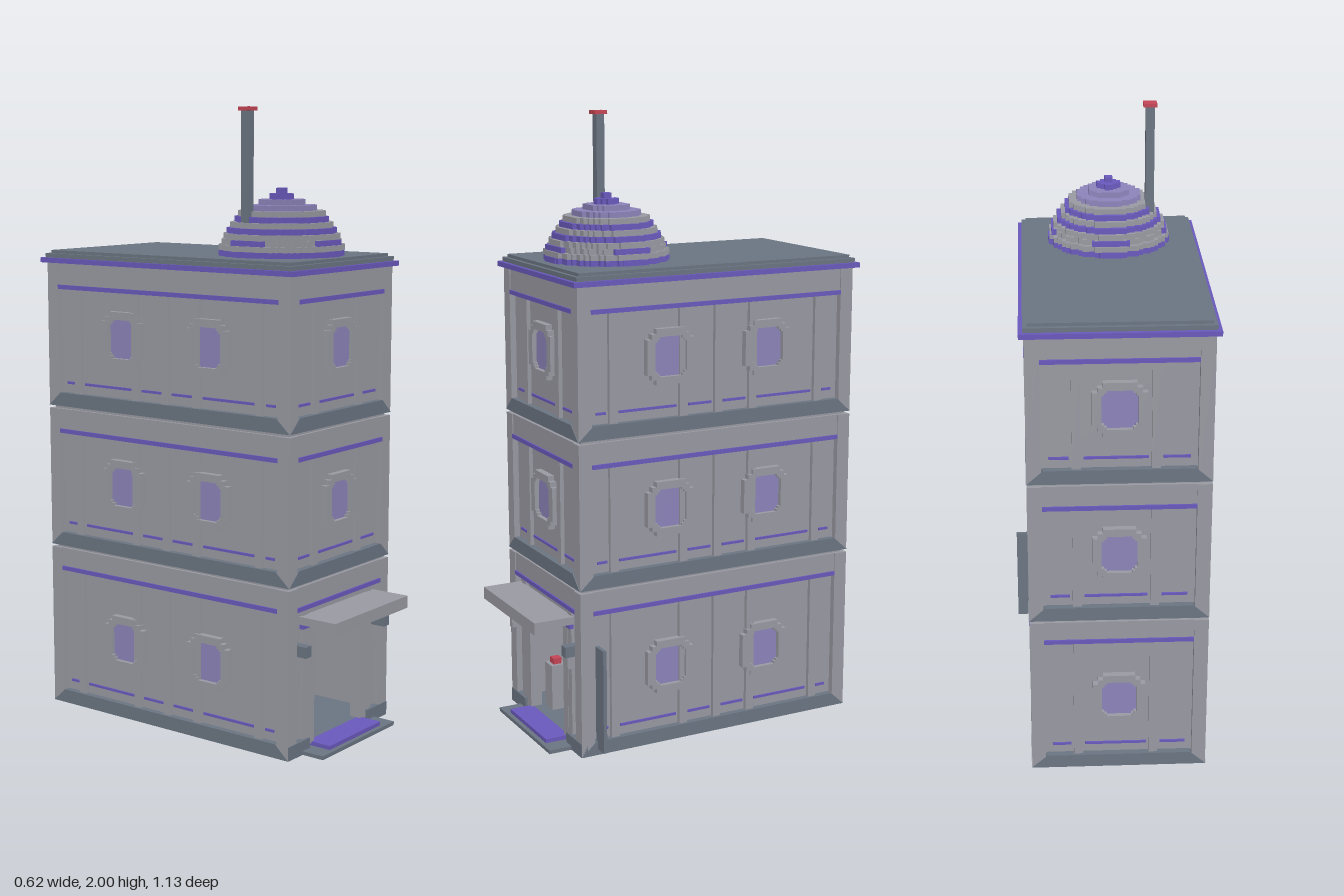
import * as THREE from 'three';

const mat = (name, color) => {
  const m = new THREE.MeshStandardMaterial({ color });
  m.name = name;
  return m;
};

export function createModel() {
  const stone = mat('stone grey', 0x999aa2);
  const slate = mat('slate', 0x6b7582);
  const purple = mat('purple trim', 0x6a59bd);
  const glass = mat('lavender glass', 0x8d84ba);
  const red = mat('signal red', 0xc54455);
  const model = new THREE.Group();
  model.name = 'tower';

  // Box given by its min and max corners
  const box = (parent, name, m, x0, x1, y0, y1, z0, z1) => {
    const mesh = new THREE.Mesh(new THREE.BoxGeometry(x1 - x0, y1 - y0, z1 - z0), m);
    mesh.position.set((x0 + x1) / 2, (y0 + y1) / 2, (z0 + z1) / 2);
    mesh.name = name;
    parent.add(mesh);
    return mesh;
  };

  const extrude = (parent, name, m, shape, depth, x, y, z) => {
    const mesh = new THREE.Mesh(new THREE.ExtrudeGeometry(shape, { depth, bevelEnabled: false }), m);
    mesh.position.set(x, y, z);
    mesh.name = name;
    parent.add(mesh);
  };

  // Outline with stepped corners, mirrored into four quadrants
  const stepped = (w, h, s) => {
    const q = [[w, h - 2 * s], [w - s, h - 2 * s], [w - s, h - s], [w - 2 * s, h - s], [w - 2 * s, h]];
    const r = [...q].reverse();
    return [...q, ...r.map(([x, y]) => [-x, y]), ...q.map(([x, y]) => [-x, -y]), ...r.map(([x, y]) => [x, -y])]
      .map(([x, y]) => new THREE.Vector2(x, y));
  };

  const addWindow = (parent, x, y) => {
    const shape = new THREE.Shape(stepped(0.083, 0.088, 0.016));
    shape.holes.push(new THREE.Path(stepped(0.055, 0.063, 0.008)));
    extrude(parent, 'windowFrame', stone, shape, 0.026, x, y, -0.024);
    box(parent, 'windowGlass', glass, x - 0.056, x + 0.056, y - 0.064, y + 0.064, -0.021, -0.013);
  };

  // One wall facing +z, its outer face on z = 0
  const facade = (f, width, windows, strips, door) => {
    const g = new THREE.Group();
    const h = width / 2, top = f.y1, y0 = f.y0, e = h - 0.045;
    if (door) {
      box(g, 'wallLeft', stone, 0.165, h - 0.02, y0, top, -0.04, -0.02);
      box(g, 'wallRight', stone, -h + 0.02, -0.165, y0, top, -0.04, -0.02);
      box(g, 'wallOverDoor', stone, -0.165, 0.165, 0.4, top, -0.04, -0.02);
    } else {
      box(g, 'wall', stone, -h + 0.02, h - 0.02, y0, top, -0.04, -0.02);
      for (const x of windows) addWindow(g, x, f.win);
      // Low purple inlays between the strips
      const cuts = [-e, ...strips, e];
      for (let i = 0; i + 1 < cuts.length; i++) {
        const a = cuts[i] + 0.022, b = cuts[i + 1] - 0.022;
        if (b - a > 0.01) box(g, 'lowInlay', purple, a, b, y0 + 0.074, y0 + 0.082, -0.021, -0.015);
      }
    }
    for (const x of strips) box(g, 'wallStrip', stone, x - 0.014, x + 0.014, y0 + 0.04, f.trim, -0.021, -0.007);
    for (const s of [-1, 1]) {
      const a = s * h, b = s * e;
      box(g, 'cornerPilaster', stone, Math.min(a, b), Math.max(a, b), y0 + 0.001, top, -0.02, 0);
    }
    box(g, 'upperBand', stone, -e, e, f.trim, top, -0.021, -0.004);
    box(g, 'upperTrim', purple, -e, e, f.trim - 0.006, f.trim + 0.008, -0.021, 0.001);
    // Tapered skirting at the foot of the wall
    if (!door) {
      const s = new THREE.Shape([[-h, 0], [h, 0], [h - 0.05, 0.045], [-h + 0.05, 0.045]]
        .map(([x, y]) => new THREE.Vector2(x, y)));
      extrude(g, 'skirting', slate, s, 0.022, 0, y0, -0.02);
    } else {
      for (const [a, b] of [[-h, -0.165], [0.165, h]])
        box(g, 'skirting', slate, a, b, y0, y0 + 0.045, -0.02, 0.002);
    }
    return g;
  };

  const CX = -0.015, CZ = -0.052, W = 0.56, D = 0.986;
  const floors = [
    { name: 'groundFloor', y0: 0, y1: 0.54, win: 0.255, trim: 0.47 },
    { name: 'middleFloor', y0: 0.55, y1: 1.015, win: 0.78, trim: 0.94 },
    { name: 'topFloor', y0: 1.025, y1: 1.5, win: 1.265, trim: 1.42 },
  ];
  floors.forEach((f, i) => {
    const floor = new THREE.Group();
    floor.name = f.name;
    floor.position.set(CX, 0, CZ);
    for (let k = 0; k < 4; k++) {
      const side = k % 2 === 1;
      const windows = side ? [-0.175, 0.175] : [0];
      const strips = side ? [-0.37, -0.125, 0, 0.125, 0.37] : [-0.13, 0.11];
      const door = i === 0 && k === 0;
      const g = facade(f, side ? D : W, windows, door ? [-0.18, 0.18] : strips, door);
      g.name = ['frontWall', 'leftWall', 'backWall', 'rightWall'][k];
      const turn = new THREE.Group();
      turn.rotation.y = k * Math.PI / 2;
      g.position.z = side ? W / 2 : D / 2;
      turn.add(g);
      floor.add(turn);
    }
    // Slab filling the groove above this floor
    if (i < 2) box(floor, 'floorSlab', stone, -W / 2 + 0.014, W / 2 - 0.014, f.y1 - 0.02, f.y1 + 0.02, -D / 2 + 0.014, D / 2 - 0.014);
    model.add(floor);
  });

  // Ground slab with purple panels below
  box(model, 'groundSlab', slate, -0.275, 0.245, 0.012, 0.025, -0.525, 0.425);
  box(model, 'undersidePanel', purple, -0.17, 0.14, 0.005, 0.013, -0.32, -0.02);
  box(model, 'undersideHatch', slate, -0.11, 0.08, 0.001, 0.006, -0.25, -0.16);

  // Entrance: jambs, canopy, step, lamps and sign
  for (const s of [-1, 1]) {
    const x = CX + s * 0.15;
    box(model, 'doorJamb', stone, x - 0.018, x + 0.018, 0.02, 0.41, 0.395, 0.435);
    const l = CX + s * 0.222;
    box(model, 'lampUpper', slate, l - 0.015, l + 0.015, 0.325, 0.36, 0.42, 0.475);
    box(model, 'lampLower', stone, l - 0.01, l + 0.01, 0.285, 0.325, 0.42, 0.465);
  }
  box(model, 'canopy', stone, -0.225, 0.19, 0.42, 0.445, 0.43, 0.565);
  box(model, 'canopyLip', stone, -0.225, 0.19, 0.405, 0.42, 0.55, 0.565);
  box(model, 'canopyTrim', purple, -0.222, 0.187, 0.405, 0.42, 0.43, 0.444);
  box(model, 'doorStep', slate, -0.22, 0.19, 0, 0.012, 0.42, 0.52);
  box(model, 'stepTread', purple, -0.16, 0.13, 0.012, 0.025, 0.42, 0.505);
  box(model, 'signBoard', slate, 0.255, 0.31, 0.02, 0.36, 0.374, 0.386);

  // Reception furniture inside the entrance
  box(model, 'counter', stone, -0.13, 0.08, 0.025, 0.13, 0.1, 0.2);
  box(model, 'counterTop', purple, -0.14, 0.09, 0.13, 0.14, 0.09, 0.21);
  box(model, 'pedestal', stone, -0.14, -0.085, 0.025, 0.18, 0.33, 0.385);
  box(model, 'pedestalButton', red, -0.127, -0.098, 0.18, 0.2, 0.343, 0.372);

  // Roof and cornice
  box(model, 'cornice', purple, -0.31, 0.28, 1.5, 1.516, -0.563, 0.457);
  box(model, 'roofEdge', slate, -0.298, 0.268, 1.516, 1.53, -0.55, 0.444);
  box(model, 'roof', slate, -0.285, 0.255, 1.53, 1.54, -0.537, 0.431);

  // Stepped dome: each layer is a disc made of rows of square cells
  const dome = new THREE.Group();
  dome.name = 'dome';
  dome.position.set(CX, 1.54, 0.205);
  const layers = [
    [0.192, purple], [0.192, stone], [0.182, stone], [0.178, stone], [0.168, purple], [0.158, stone],
    [0.145, purple], [0.13, stone], [0.105, glass], [0.068, glass], [0.034, purple], [0.015, purple],
  ];
  const c = 0.0128, lh = 0.0175;
  layers.forEach(([r, m], i) => {
    for (let n = -15; n < 15; n++) {
      const z = (n + 0.5) * c;
      if (Math.abs(z) >= r) continue;
      const half = Math.max(1, Math.round(Math.sqrt(r * r - z * z) / c)) * c;
      box(dome, 'domeRow', m, -half, half, i * lh, (i + 1) * lh, n * c, (n + 1) * c);
    }
  });
  // Purple studs around the dome foot
  for (let k = 0; k < 4; k++) {
    const stud = new THREE.Group();
    stud.rotation.y = k * Math.PI / 2;
    box(stud, 'domeStud', purple, -0.036, 0.036, 0, 0.018, 0.18, 0.196);
    box(stud, 'domeStud', purple, -0.06, 0.06, 0.035, 0.052, 0.17, 0.186);
    dome.add(stud);
  }
  model.add(dome);

  // Antenna mast with red cap
  box(model, 'mast', slate, -0.159, -0.131, 1.54, 1.988, 0.153, 0.181);
  box(model, 'mastCap', red, -0.166, -0.123, 1.988, 2, 0.146, 0.189);
  return model;
}
